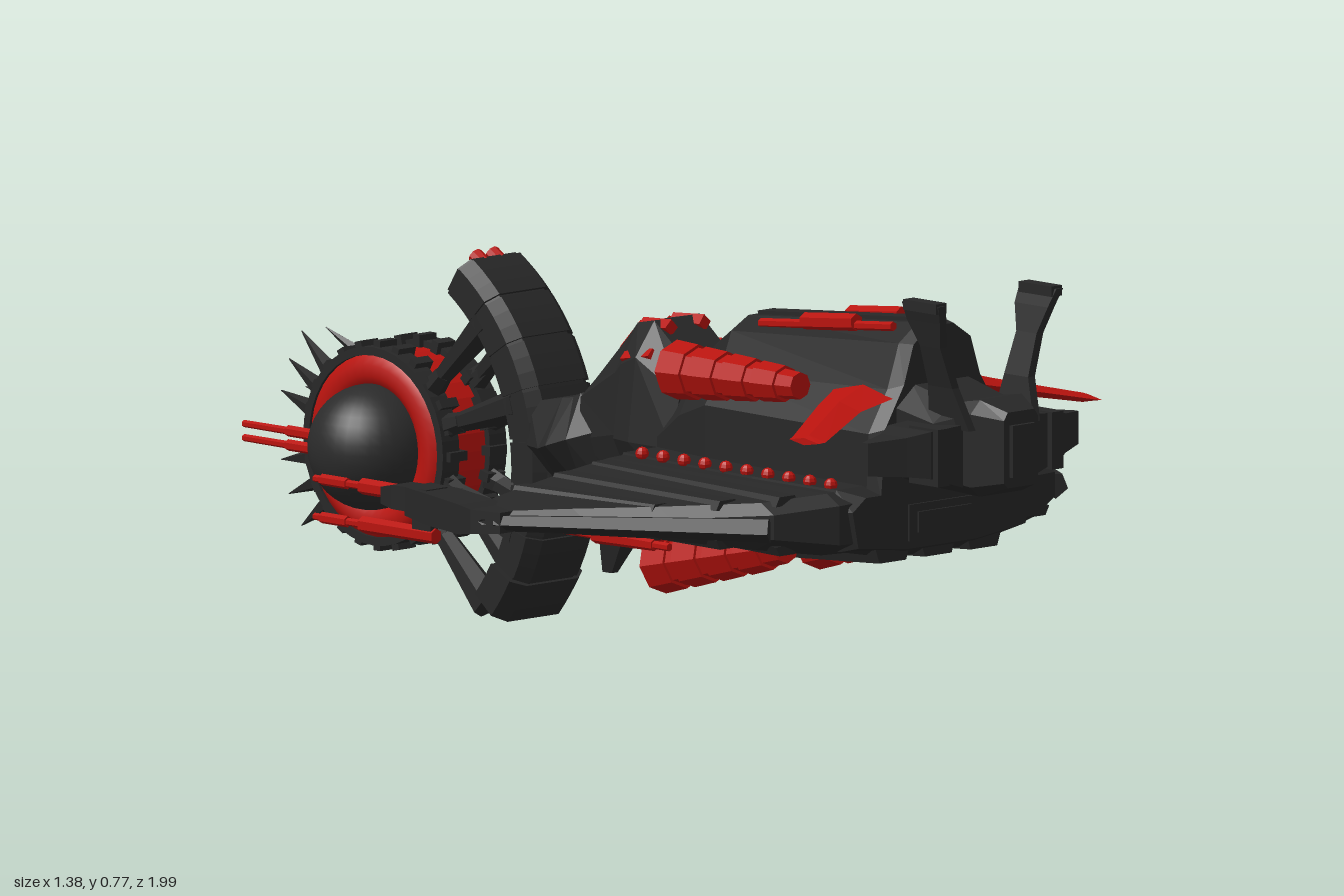
import * as THREE from 'three';

const dark = new THREE.MeshStandardMaterial({ color: 0x272727, flatShading: true });
const red = new THREE.MeshStandardMaterial({ color: 0xb8130e, flatShading: true });
const smoothDark = new THREE.MeshStandardMaterial({ color: 0x2b2b2b });
const smoothRed = new THREE.MeshStandardMaterial({ color: 0xb8130e });
const V = (x, y, z) => new THREE.Vector3(x, y, z);

export function createModel() {
  const model = new THREE.Group();
  model.name = 'spacecraft';

  function add(name, geo, mat = dark) {
    const m = new THREE.Mesh(geo, mat);
    m.name = name;
    model.add(m);
    return m;
  }

  // Closed skin over rings of points; faces are turned outward by signed volume
  function loft(name, rings, mat = dark) {
    const tris = [], n = rings[0].length;
    for (let r = 0; r < rings.length - 1; r++) for (let i = 0; i < n; i++) {
      const j = (i + 1) % n, a = rings[r], b = rings[r + 1];
      tris.push([a[i], a[j], b[j]], [a[i], b[j], b[i]]);
    }
    const cap = (ring, flip) => {
      const c = ring.reduce((s, p) => s.add(p), V(0, 0, 0)).divideScalar(n);
      for (let i = 0; i < n; i++) {
        const p = ring[i], q = ring[(i + 1) % n];
        tris.push(flip ? [c, q, p] : [c, p, q]);
      }
    };
    cap(rings[0], true);
    cap(rings[rings.length - 1], false);
    const o = rings[0][0];
    const vol = tris.reduce((s, [a, b, c]) =>
      s + a.clone().sub(o).dot(b.clone().sub(o).cross(c.clone().sub(o))), 0);
    const pts = tris.flatMap(([a, b, c]) => (vol < 0 ? [a, c, b] : [a, b, c]));
    const g = new THREE.BufferGeometry().setFromPoints(pts);
    g.computeVertexNormals();
    return add(name, g, mat);
  }

  // Hull from mirrored half-profiles: [z, [[x, y], ...]] listed top to bottom
  const hull = (name, sections) => loft(name, sections.map(([z, half]) => [
    ...half.map(([x, y]) => V(x, y, z)),
    ...half.slice().reverse().map(([x, y]) => V(-x, y, z))]));

  // Tapered bar from a to b
  function bar(name, a, b, ra, rb, mat = dark, sides = 6) {
    const m = add(name, new THREE.CylinderGeometry(rb, ra, a.distanceTo(b), sides), mat);
    m.position.copy(a).lerp(b, 0.5);
    m.quaternion.setFromUnitVectors(V(0, 1, 0), b.clone().sub(a).normalize());
    return m;
  }

  function box(name, w, h, d, x, y, z) {
    const m = add(name, new THREE.BoxGeometry(w, h, d));
    m.position.set(x, y, z);
    return m;
  }

  // Main body
  hull('upperHull', [
    [0.77, [[0.03, 0.695], [0.075, 0.665], [0.1, 0.59], [0.15, 0.51], [0.16, 0.38]]],
    [0.74, [[0.035, 0.7], [0.085, 0.665], [0.115, 0.58], [0.165, 0.5], [0.17, 0.38]]],
    [0.28, [[0.035, 0.66], [0.08, 0.635], [0.11, 0.56], [0.15, 0.5], [0.15, 0.38]]],
    [0.2, [[0.035, 0.6], [0.07, 0.58], [0.105, 0.53], [0.14, 0.47], [0.14, 0.37]]],
    [0.13, [[0.035, 0.5], [0.07, 0.49], [0.1, 0.46], [0.13, 0.42], [0.13, 0.36]]]]);
  hull('lowerHull', [
    [0.77, [[0.2, 0.385], [0.235, 0.36], [0.22, 0.29], [0.09, 0.275]]],
    [0.73, [[0.24, 0.4], [0.25, 0.36], [0.23, 0.28], [0.1, 0.255]]],
    [0.5, [[0.24, 0.4], [0.25, 0.36], [0.22, 0.27], [0.09, 0.245]]],
    [0.13, [[0.22, 0.4], [0.23, 0.36], [0.18, 0.29], [0.08, 0.27]]]]);
  for (const x of [-0.12, 0, 0.12])
    loft('keelPlank', [[0.76, 0.265], [0.53, 0.25], [0.14, 0.272]].map(([z, y]) =>
      [V(x - 0.05, y + 0.03, z), V(x + 0.05, y + 0.03, z), V(x + 0.035, y - 0.012, z), V(x - 0.035, y - 0.012, z)]));
  box('roofSpine', 0.04, 0.03, 0.44, 0, 0.672, 0.51).rotation.x = 0.087 * -1;
  box('chinFrame', 0.18, 0.07, 0.03, 0, 0.325, 0.76);
  box('chinPanel', 0.14, 0.04, 0.02, 0, 0.325, 0.77);

  // Head
  hull('head', [
    [0.985, [[0.035, 0.555], [0.045, 0.54], [0.045, 0.42], [0.035, 0.41]]],
    [0.93, [[0.055, 0.575], [0.08, 0.55], [0.08, 0.41], [0.055, 0.39]]],
    [0.87, [[0.065, 0.565], [0.12, 0.53], [0.12, 0.43], [0.065, 0.395]]],
    [0.76, [[0.07, 0.59], [0.12, 0.55], [0.12, 0.42], [0.07, 0.4]]]]);
  box('facePanel', 0.06, 0.1, 0.02, 0, 0.48, 0.984);

  for (const s of [1, -1]) {
    // Head details
    loft('cheekFin', [[0.09, 0.8, 0.92, 0.41, 0.53], [0.17, 0.8, 0.915, 0.435, 0.525], [0.21, 0.82, 0.89, 0.44, 0.515], [0.277, 0.84, 0.855, 0.445, 0.508]]
      .map(([x, z0, z1, y0, y1]) => [V(s * x, y0, z0), V(s * x, y0, z1), V(s * x, y1, z1), V(s * x, y1, z0)]));
    box('cheekBlock', 0.03, 0.11, 0.08, s * 0.15, 0.475, 0.89);
    loft('antennaFin', [[0.52, 0.085, 0.83, 0.94], [0.6, 0.1, 0.845, 0.91], [0.68, 0.127, 0.85, 0.905], [0.73, 0.142, 0.83, 0.92], [0.765, 0.155, 0.83, 0.93]]
      .map(([y, x, z0, z1]) => [[-1, z0], [1, z0], [1, z1], [-1, z1]].map(([d, z]) => V(s * x + d * 0.009, y, z))));
    box('antennaTip', 0.028, 0.02, 0.09, s * 0.152, 0.76, 0.88);

    // Wings and their low raised ribs
    loft('wing', [[0.1, 0.125, 0.765, 0.27, 0.4], [0.26, 0.125, 0.76, 0.275, 0.395], [0.37, 0.125, 0.695, 0.29, 0.382],
      [0.48, 0.13, 0.53, 0.305, 0.368], [0.57, 0.14, 0.39, 0.308, 0.358], [0.685, 0.165, 0.225, 0.31, 0.345]]
      .map(([x, z0, z1, y0, y1]) => [V(s * x, y0 + 0.02, z0), V(s * x, y0, z0 + 0.025), V(s * x, y0, z1 - 0.05), V(s * x, y0 + 0.025, z1),
        V(s * x, y1 - 0.02, z1), V(s * x, y1, z1 - 0.035), V(s * x, y1, z0 + 0.01)]));
    for (const [x0, x1, z1, y, w] of [[0.29, 0.33, 0.69, 0.388, 0.03], [0.39, 0.4, 0.6, 0.378, 0.03], [0.5, 0.47, 0.49, 0.366, 0.025]])
      for (const under of [false, true]) {
        const h = under ? 0.68 - y - 0.005 : y;
        loft('wingRib', [[x0, 0.14], [x1, z1]].map(([x, z]) => [[-w, -0.012], [w, -0.012], [w - 0.01, 0.006], [0.01 - w, 0.006]]
          .map(([dx, dy]) => V(s * (x + dx), h + (under ? -dy : dy), z))));
      }
    bar('leadingEdge', V(s * 0.375, 0.335, 0.69), V(s * 0.665, 0.33, 0.24), 0.026, 0.015, dark, 5);

    // Wing tip: broad plate stepping down to a narrow arm with twin cannon
    loft('wingTipPlate', [[0.26, 0.6, 0.67, 0.31, 0.35], [0.2, 0.595, 0.69, 0.305, 0.352], [0.165, 0.595, 0.687, 0.3, 0.357], [0.06, 0.585, 0.675, 0.305, 0.365], [0.0, 0.6, 0.67, 0.315, 0.37]]
      .map(([z, x0, x1, y0, y1]) => [V(s * x0, y0, z), V(s * x1, y0, z), V(s * x1, y1, z), V(s * x0, y1, z)]));
    loft('wingTipArm', [[0.05, 0.605, 0.66, 0.32, 0.368], [-0.04, 0.612, 0.665, 0.322, 0.368], [-0.075, 0.632, 0.66, 0.328, 0.36]]
      .map(([z, x0, x1, y0, y1]) => [V(s * x0, y0, z), V(s * x1, y0, z), V(s * x1, y1, z), V(s * x0, y1, z)]));
    for (const y of [0.345, 0.272]) {
      bar('tipCannonBody', V(s * 0.615, y, 0.03), V(s * 0.615, y, -0.17), 0.015, 0.016, red);
      bar('tipCannonBarrel', V(s * 0.615, y, -0.16), V(s * 0.615, y, -0.3), 0.008, 0.007, red);
      bar('tipCannonMuzzle', V(s * 0.615, y, -0.21), V(s * 0.615, y, -0.28), 0.011, 0.011, red);
    }
    box('cannonMount', 0.02, 0.06, 0.05, s * 0.615, 0.3, 0.0);

    // Guns under the wing, pointing aft
    for (const [x, y, z0, z1] of [[0.3, 0.31, 0.3, -0.08], [0.385, 0.292, 0.45, 0.0], [0.485, 0.295, 0.53, 0.0]]) {
      bar('wingGunBarrel', V(s * x, y, z0), V(s * x, y, z1), 0.008, 0.008, red);
      bar('wingGunBody', V(s * x, y, z0 - 0.04), V(s * x, y, z0 - 0.2), 0.012, 0.016, red);
      bar('wingGunMuzzle', V(s * x, y, z1 + 0.09), V(s * x, y, z1 + 0.01), 0.01, 0.01, red);
    }

    // Red engine pods with shallow collars, above and below
    for (const [a, b, r0, r1] of [[V(s * 0.16, 0.57, 0.55), V(s * 0.152, 0.56, 0.2), 0.026, 0.052],
      [V(s * 0.2, 0.268, 0.55), V(s * 0.203, 0.195, 0.21), 0.034, 0.052]]) {
      bar('enginePod', a, b, r0, r1, red, 8);
      for (let i = 0; i < 4; i++) {
        const t = 0.12 + i * 0.23, r = r0 + (r1 - r0) * t + 0.006;
        bar('podCollar', a.clone().lerp(b, t), a.clone().lerp(b, t + 0.17), r, r + 0.004, red, 8);
      }
      bar('podNozzle', b, b.clone().add(V(0, 0, -0.006)), r1 * 0.7, r1 * 0.7, dark, 8);
    }

    // Swept red fins on the shoulders
    loft('shoulderFin', [[0.12, 0.565, 0.6, 0.76, 0.018], [0.2, 0.548, 0.64, 0.755, 0.014], [0.36, 0.516, 0.735, 0.825, 0.009], [0.373, 0.514, 0.74, 0.82, 0.007]]
      .map(([x, y, z0, z1, t]) => [V(s * x, y, z0), V(s * x, y + t, (z0 + z1) / 2), V(s * x, y, z1), V(s * x, y - t, (z0 + z1) / 2)]), red);

    // Rows of lights, red roof and tail strips
    for (let i = 0; i < 10; i++)
      add('wingLight', new THREE.SphereGeometry(0.013, 8, 6), red).position.set(s * 0.228, 0.406, 0.19 + i * 0.057);
    bar('roofStrip', V(s * 0.06, 0.69, 0.7), V(s * 0.06, 0.655, 0.34), 0.009, 0.009, red);
    bar('roofStripBody', V(s * 0.06, 0.686, 0.6), V(s * 0.06, 0.672, 0.46), 0.017, 0.017, red);
    bar('tailStrip', V(s * 0.044, 0.613, 0.08), V(s * 0.04, 0.608, 0.0), 0.016, 0.016, red, 4);
    bar('tailSlopeStrip', V(s * 0.04, 0.605, 0.0), V(s * 0.035, 0.55, -0.06), 0.016, 0.014, red, 4);
    bar('tailSideStrip', V(s * 0.092, 0.565, 0.08), V(s * 0.088, 0.55, 0.0), 0.014, 0.014, red, 4);
  }

  // Tail block, neck and lower fin
  hull('tailBlock', [
    [0.17, [[0.06, 0.53], [0.11, 0.5], [0.13, 0.4], [0.1, 0.29]]],
    [0.05, [[0.06, 0.625], [0.11, 0.56], [0.13, 0.4], [0.08, 0.3]]],
    [0.0, [[0.055, 0.615], [0.1, 0.54], [0.12, 0.4], [0.07, 0.3]]],
    [-0.03, [[0.05, 0.585], [0.085, 0.52], [0.09, 0.4], [0.06, 0.3]]],
    [-0.13, [[0.04, 0.49], [0.08, 0.46], [0.085, 0.38], [0.05, 0.29]]]]);
  hull('neckCollar', [
    [-0.08, [[0.06, 0.48], [0.08, 0.4], [0.05, 0.28]]],
    [-0.14, [[0.07, 0.465], [0.11, 0.38], [0.06, 0.275]]],
    [-0.16, [[0.07, 0.455], [0.145, 0.37], [0.06, 0.275]]],
    [-0.19, [[0.07, 0.45], [0.135, 0.36], [0.06, 0.27]]],
    [-0.29, [[0.06, 0.43], [0.075, 0.35], [0.06, 0.265]]]]);
  for (const z of [-0.21, -0.24, -0.27]) box('neckRib', 0.13, 0.17, 0.014, 0, 0.35, z);
  loft('tailFin', [[0.33, 0.045, 0.02, -0.1], [0.25, 0.04, -0.04, -0.12], [0.17, 0.02, -0.085, -0.14], [0.115, 0.008, -0.12, -0.145]]
    .map(([y, w, z0, z1]) => [V(-w, y, z0), V(w, y, z0), V(w, y, z1), V(-w, y, z1)]));

  // Crescent of shallow overlapping segments around the orb
  const cy = 0.3, cz = -0.69;
  const polar = (x, r, deg) => V(x, cy + r * Math.sin(deg * Math.PI / 180), cz + r * Math.cos(deg * Math.PI / 180));
  const arcRing = (a, w, r0, r1) => [polar(-w, r0, a), polar(w, r0, a), polar(w, r1 - 0.02, a), polar(w * 0.7, r1, a), polar(-w * 0.7, r1, a), polar(-w, r1 - 0.02, a)];
  const core = [];
  for (let a = -40; a <= 58; a += 3.5) core.push(arcRing(a, 0.084, 0.383, 0.453));
  loft('crescentCore', core);
  for (let i = 0; i < 8; i++) {
    const a = -40.5 + i * 12.3, w = i === 0 ? 0.096 : 0.088;
    loft('crescentSegment', [0, 3.8, 7.6, 11.4].map(d => arcRing(a + d, w, 0.38, 0.458)));
  }
  // Four barrels at the crescent's top end
  for (const x of [-0.022, 0.022]) for (const r of [0.41, 0.44])
    bar('crescentBarrel', polar(x, r, 55), polar(x, r, 61), 0.015, 0.015, red, 8);

  // Orb: red drum, hollow toothed rims, inset red rings and side domes
  const onAxle = (m, x) => {
    m.rotation.z = Math.PI / 2;
    m.position.set(x, cy, cz);
  };
  onAxle(add('orbDrum', new THREE.CylinderGeometry(0.178, 0.178, 0.13, 32), red), 0);
  const rimProfile = [[0.174, -0.022], [0.19, -0.022], [0.19, 0.022], [0.174, 0.022], [0.174, -0.022]].map(([r, h]) => new THREE.Vector2(r, h));
  for (const s of [1, -1]) {
    onAxle(add('orbRim', new THREE.LatheGeometry(rimProfile, 40), dark), s * 0.062);
    const ring = add('orbRing', new THREE.TorusGeometry(0.145, 0.034, 10, 40), smoothRed);
    ring.rotation.y = Math.PI / 2;
    ring.scale.z = 0.7;
    ring.position.set(s * 0.066, cy, cz);
    add('orbDome', new THREE.SphereGeometry(0.12, 32, 20), smoothDark).position.set(s * 0.09, cy, cz);
    for (let i = 0; i < 24; i++) {
      const tooth = box('rimTooth', 0.045, 0.018, 0.024, 0, 0, 0);
      tooth.position.copy(polar(s * 0.052, 0.189, i * 15));
      tooth.rotation.x = -i * Math.PI / 12;
    }
    // Spokes to the crescent
    for (const a of [-43, -18, 18, 43]) {
      bar('spoke', polar(s * 0.06, 0.4, a), polar(s * 0.055, 0.185, a), 0.034, 0.016);
      bar('spokeFoot', polar(s * 0.06, 0.23, a), polar(s * 0.055, 0.185, a), 0.018, 0.024);
    }
    // Spikes raking aft
    for (const a of [138, 152, 166, 194, 208, 222])
      bar('spike', polar(s * 0.06, 0.18, a), polar(s * 0.032, 0.31, a + (180 - a) * 0.12), 0.02, 0.001, dark, 5);
    // Twin orb guns
    for (const y of [0.312, 0.285]) {
      bar('orbGunBarrel', V(s * 0.123, y, -0.76), V(s * 0.123, y, -1), 0.008, 0.007, red);
      bar('orbGunSleeve', V(s * 0.123, y, -0.79), V(s * 0.123, y, -0.88), 0.011, 0.011, red);
    }
  }
  return model;
}
